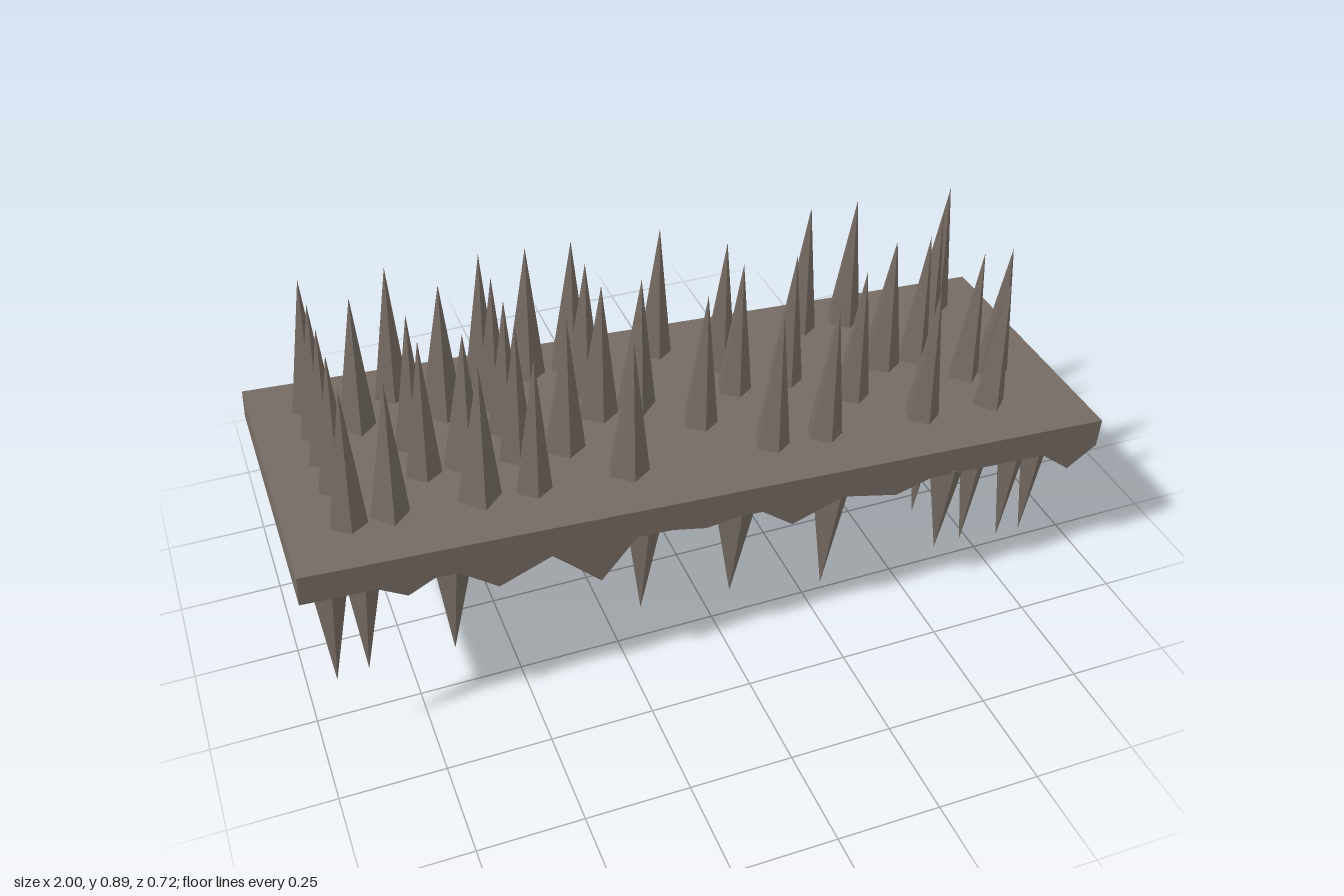
import * as THREE from 'three';

const SLOPE = -0.0575; // the slab falls towards +x
const topY = (x) => 0.4875 + SLOPE * x;
const bottomY = (x) => 0.4125 + SLOPE * x;

export function createModel() {
  const model = new THREE.Group();
  model.name = 'spikedSlab';
  const stone = new THREE.MeshStandardMaterial({ color: 0x766c64, flatShading: true });
  stone.name = 'brownStone';

  // Tilted slab
  const slab = new THREE.Mesh(new THREE.BoxGeometry(1.998, 0.075, 0.72), stone);
  slab.name = 'slab';
  slab.position.y = 0.45;
  slab.rotation.z = Math.atan(SLOPE);
  model.add(slab);

  // Low-poly cone running from a base point to a tip
  const up = new THREE.Vector3(0, 1, 0);
  function spike(name, base, tip, radius, sides, turn = 0, depth = 1) {
    const from = new THREE.Vector3(...base);
    const dir = new THREE.Vector3(...tip).sub(from);
    const height = dir.length();
    const geometry = new THREE.ConeGeometry(radius, height, sides);
    geometry.rotateY(turn);
    geometry.translate(0, height / 2, 0);
    geometry.scale(1, 1, depth);
    const mesh = new THREE.Mesh(geometry, stone);
    mesh.name = name;
    mesh.position.copy(from);
    // the downward ones flip about x so that z stays aligned
    if (dir.y < 0) {
      const flip = new THREE.Quaternion().setFromAxisAngle(new THREE.Vector3(1, 0, 0), Math.PI);
      const lean = new THREE.Quaternion().setFromUnitVectors(up.clone().negate(), dir.normalize());
      mesh.quaternion.copy(lean.multiply(flip));
    } else {
      mesh.quaternion.setFromUnitVectors(up, dir.normalize());
    }
    model.add(mesh);
  }

  // Upper spikes: rows along x at five depths
  const rows = [
    [-0.25, [-0.85, -0.65, -0.425, -0.31, -0.195, 0.035, 0.445, 0.575, 0.845]],
    [-0.14, [-0.85, -0.755, -0.55, -0.425, -0.195, 0.17, 0.765]],
    [-0.035, [-0.85, -0.65, -0.425, -0.19, -0.09, 0.17, 0.31, 0.58, 0.675]],
    [0.075, [-0.85, -0.65, -0.55, -0.43, -0.31, 0.035, 0.445, 0.765, 0.845]],
    [0.205, [-0.85, -0.755, -0.55, -0.425, -0.195, 0.17, 0.31, 0.575, 0.765]],
  ];
  const wide = [-0.55, -0.31, -0.195, -0.19, -0.09, 0.58];
  const fourSided = [-0.755, -0.55, -0.09, 0.675, 0.765];
  for (const [z, xs] of rows) {
    for (const x of xs) {
      const radius = wide.includes(x) ? 0.053 : 0.046;
      const sides = fourSided.includes(x) ? 4 : 5;
      spike('upperSpike', [x - 0.004, topY(x) - 0.01, z], [x + 0.017, topY(x) + 0.358, z], radius, sides);
    }
  }

  // Long hanging spikes: tip x, tip y, tip z, radius
  const hanging = [
    // front row
    [-0.945, 0.2, 0.335, 0.04], [-0.87, 0.2, 0.325, 0.04], [-0.67, 0.2, 0.33, 0.045],
    [-0.215, 0.17, 0.325, 0.045], [0.015, 0.15, 0.325, 0.055], [0.29, 0.04, 0.27, 0.06],
    [0.57, 0.13, 0.34, 0.05], [0.655, 0.115, 0.32, 0.04], [0.75, 0.115, 0.34, 0.04], [0.82, 0.11, 0.333, 0.04],
    // middle
    [0.655, 0.015, 0.075, 0.055],
    // back row
    [-0.945, 0.115, -0.32, 0.04], [-0.87, 0.11, -0.32, 0.045], [-0.67, 0.1, -0.32, 0.045],
    [-0.575, 0.09, -0.32, 0.045], [-0.445, 0.09, -0.32, 0.055], [-0.215, 0.07, -0.32, 0.05],
    [0.015, 0.055, -0.32, 0.06], [0.29, 0.04, -0.25, 0.05], [0.42, 0.035, -0.32, 0.06],
    [0.655, 0.025, -0.32, 0.045], [0.82, 0, -0.32, 0.045],
  ];
  for (const [x, y, z, radius] of hanging) {
    const bx = x + 0.018;
    const nearEdge = Math.abs(z) > 0.3;
    spike('hangingSpike', [bx, bottomY(bx) + 0.005, nearEdge ? z * 0.97 : z], [x, y, z], radius, 4, 0, nearEdge ? 0.7 : 0.95);
  }

  // Broken wedges under the front edge: left x, right x, tip x, tip y
  const wedges = [
    [-0.83, -0.7, -0.765, 0.42], [-0.65, -0.42, -0.56, 0.38], [-0.44, -0.23, -0.32, 0.32],
    [-0.15, 0.02, -0.06, 0.4], [0.08, 0.3, 0.16, 0.345], [0.27, 0.53, 0.435, 0.355], [0.84, 0.998, 0.92, 0.3],
  ];
  for (const [x0, x1, tx, ty] of wedges) {
    const a = [x0, bottomY(x0), 0.359];
    const b = [x1, bottomY(x1), 0.359];
    const back = [tx, bottomY(tx), 0.26];
    const tip = [tx, ty, 0.359];
    const geometry = new THREE.BufferGeometry();
    const corners = [a, tip, b, a, back, tip, b, tip, back].flat();
    geometry.setAttribute('position', new THREE.Float32BufferAttribute(corners, 3));
    geometry.computeVertexNormals();
    const mesh = new THREE.Mesh(geometry, stone);
    mesh.name = 'frontWedge';
    model.add(mesh);
  }
  return model;
}
